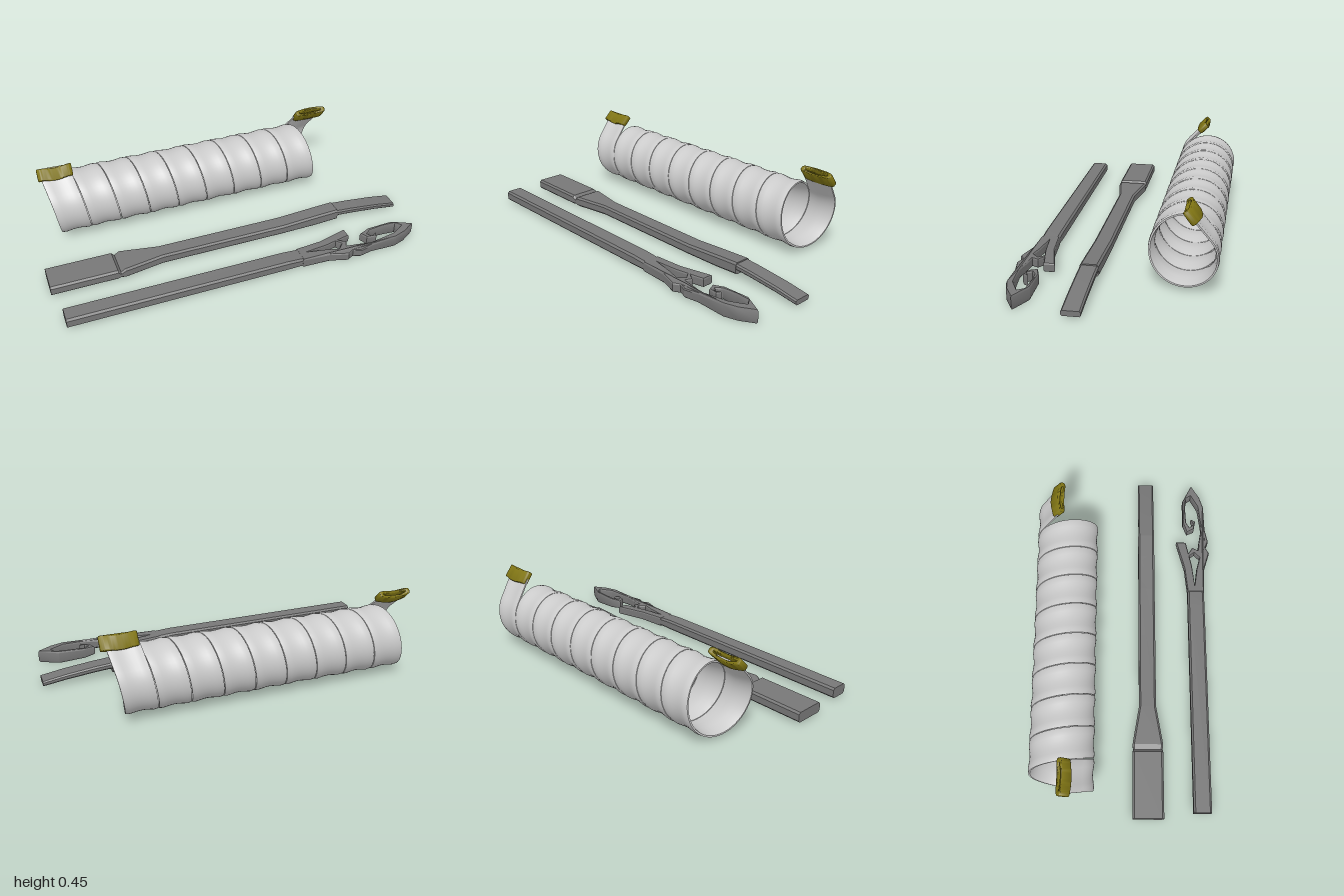
import * as THREE from 'three';
import { toCreasedNormals } from 'three/addons/utils/BufferGeometryUtils.js';

const V = (x, y, z) => new THREE.Vector3(x, y, z);
const plain = new THREE.MeshStandardMaterial({ color: 0xcccccc });
const dark = new THREE.MeshStandardMaterial({ color: 0x777777 });
const olive = new THREE.MeshStandardMaterial({ color: 0x807514 });

// Joins a row of equal-length rings into a capped solid
function loft(rings, crease = 0.6) {
  const n = rings[0].length, last = (rings.length - 1) * n, index = [];
  for (let i = 0; i < rings.length - 1; i++) {
    for (let k = 0; k < n; k++) {
      const a = i * n + k, b = i * n + (k + 1) % n;
      index.push(a, a + n, b + n, a, b + n, b);
    }
  }
  for (let k = 1; k < n - 1; k++) index.push(0, k, k + 1, last, last + k + 1, last + k);
  const g = new THREE.BufferGeometry().setFromPoints(rings.flat());
  g.setIndex(index);
  return toCreasedNormals(g, crease);
}

// Chamfered bar along x; stations are [x, half width, bottom, top]
function bar(stations, zc) {
  return loft(stations.map(([x, w, b, t]) => {
    const c = Math.min(0.01, (t - b) / 4);
    return [[w, b + c], [w, t - c], [w - c, t], [c - w, t], [-w, t - c], [-w, b + c], [c - w, b], [w - c, b]]
      .map(([z, y]) => V(x, y, zc + z));
  }), 0.35);
}

function add(parent, name, geometry, material) {
  const mesh = new THREE.Mesh(geometry, material);
  mesh.name = name;
  parent.add(mesh);
  return mesh;
}

// Coil layout
const CY = 0.19, CZ = -0.325, R = 0.16, PITCH = 0.1676, TURNS = 8;
const A0 = Math.PI / 4, A1 = THREE.MathUtils.degToRad(-217) - TURNS * Math.PI * 2;
const LEAD0 = 0.12, LEAD1 = 0.148;

function coilRibbon() {
  // Ribbon section: slightly dished, with rounded edges
  const section = [], W = 0.082, N = 8;
  const mid = u => -0.004 * Math.cos(u * Math.PI);
  for (let i = 0; i <= N; i++) {
    const u = -1 + 2 * i / N;
    section.push([u * W, mid(u) + (Math.abs(u) === 1 ? 0.004 : 0.008)]);
  }
  for (let i = N; i >= 0; i--) {
    const u = -1 + 2 * i / N;
    section.push([u * W, mid(u) - (Math.abs(u) === 1 ? 0.004 : 0.008)]);
  }
  const slope = PITCH / (2 * Math.PI * R);
  const rings = [];
  let x = -0.835;
  // Ring at angle a, slid along the tangent by d
  const ring = (a, d, x) => {
    const ny = Math.sin(a), nz = Math.cos(a);
    rings.push(section.map(([w, h]) =>
      V(x + w, CY + ny * (R + h) - nz * d, CZ + nz * (R + h) + ny * d)));
  };
  ring(A0, -LEAD0, x);
  x += LEAD0 * slope;
  const steps = 440;
  for (let i = 0; i <= steps; i++) {
    const t = i / steps;
    ring(A0 + (A1 - A0) * t, 0, x + (A0 - A1) * t * R * slope);
  }
  x += (A0 - A1) * R * slope;
  ring(A1, LEAD1, x + LEAD1 * slope);
  return loft(rings, 0.8);
}

// Flat hollow sleeve, gently waved along its length
function sleeveGeometry(depth) {
  const oval = (a, b) => Array.from({ length: 56 }, (_, i) => {
    const t = i / 56 * Math.PI * 2, c = Math.cos(t), s = Math.sin(t);
    return new THREE.Vector2(a * c, b * Math.sign(s) * Math.pow(Math.abs(s), 0.4));
  });
  const shape = new THREE.Shape(oval(0.087, 0.016));
  shape.holes.push(new THREE.Path(oval(0.074, 0.012)));
  const g = new THREE.ExtrudeGeometry(shape, {
    depth: depth - 0.012, bevelThickness: 0.006, bevelSize: 0.006, bevelSegments: 3,
  });
  g.translate(0, 0, 0.006 - depth / 2);
  const p = g.attributes.position;
  for (let i = 0; i < p.count; i++) {
    const wave = Math.cos(p.getX(i) / 0.093 * Math.PI);
    p.setY(i, p.getY(i) + 0.003 * wave);
    p.setZ(i, p.getZ(i) - 0.005 * wave);
  }
  return toCreasedNormals(g, 0.9);
}

function addSleeve(parent, name, pos, dir, depth) {
  const mesh = add(parent, name, sleeveGeometry(depth), olive);
  const X = V(1, 0, 0);
  mesh.quaternion.setFromRotationMatrix(
    new THREE.Matrix4().makeBasis(X, dir.clone().cross(X), dir));
  mesh.position.copy(pos);
}

// Forked, curled end of the hook tool, drawn in plan as [x, z]
function hookGeometry() {
  const plan = [
    [0.28, 0.365], [0.43, 0.35], [0.6, 0.305], [0.6, 0.362], [0.45, 0.395], [0.32, 0.408],
    [0.43, 0.422], [0.5, 0.44], [0.53, 0.41], [0.49, 0.352], [0.565, 0.4], [0.55, 0.433],
    [0.605, 0.44], [0.685, 0.455], [0.83, 0.438], [0.905, 0.397], [0.885, 0.368],
    [0.81, 0.364], [0.73, 0.368], [0.7, 0.387], [0.715, 0.408], [0.75, 0.395],
    [0.738, 0.422], [0.685, 0.412], [0.665, 0.37], [0.725, 0.348], [0.87, 0.348],
    [0.975, 0.403], [0.9, 0.45], [0.83, 0.472], [0.685, 0.477], [0.605, 0.494],
    [0.565, 0.478], [0.53, 0.498], [0.43, 0.467], [0.28, 0.46],
  ];
  const g = new THREE.ExtrudeGeometry(
    new THREE.Shape(plan.map(([x, z]) => new THREE.Vector2(x, z))),
    { depth: 0.034, bevelThickness: 0.006, bevelSize: 0.004, bevelOffset: -0.004, bevelSegments: 1 });
  g.rotateX(Math.PI / 2);
  g.translate(0, 0.017, 0);
  // The curl is thicker than the fork
  const p = g.attributes.position;
  for (let i = 0; i < p.count; i++) {
    const x = p.getX(i);
    const k = 1 + 0.5 * THREE.MathUtils.smoothstep(x, 0.62, 0.85)
      + 0.15 * (1 - THREE.MathUtils.smoothstep(x, 0.28, 0.5));
    p.setY(i, 0.035 + p.getY(i) * k);
  }
  return toCreasedNormals(g, 0.5);
}

export function createModel() {
  const model = new THREE.Group();

  // Spiral ribbon with a sleeve on each end
  const coil = new THREE.Group();
  coil.name = 'coil';
  add(coil, 'spiralRibbon', coilRibbon(), plain);
  const s = Math.SQRT1_2;
  addSleeve(coil, 'rightSleeve', V(-0.838, 0.396, -0.295), V(0, s, -s), 0.066);
  addSleeve(coil, 'leftSleeve', V(0.685, 0.408, -0.369), V(0, 0.8, 0.6), 0.074);
  model.add(coil);

  // Flat-bladed tool with a stepped, sloping tip
  const blade = new THREE.Group();
  blade.name = 'bladeTool';
  add(blade, 'bladeAndShaft', bar([
    [-1, 0.0825, 0.01, 0.065], [-0.65, 0.0825, 0.01, 0.065], [-0.635, 0.08, 0.014, 0.048],
    [-0.61, 0.0825, 0.01, 0.065], [-0.58, 0.078, 0.01, 0.065], [-0.4, 0.047, 0.01, 0.065],
    [0.3, 0.047, 0.01, 0.065], [0.5, 0.047, 0.014, 0.078], [0.63, 0.047, 0.022, 0.085],
  ], 0.127), dark);
  add(blade, 'slopingTip', bar([
    [0.61, 0.046, 0.047, 0.08], [0.72, 0.046, 0.04, 0.072],
    [0.88, 0.046, 0.025, 0.055], [1, 0.046, 0.009, 0.036],
  ], 0.127), dark);
  model.add(blade);

  // Hook tool with a forked, curled end
  const hook = new THREE.Group();
  hook.name = 'hookTool';
  add(hook, 'hookShaft', bar([
    [-0.97, 0.048, 0.01, 0.066], [0.2, 0.048, 0.01, 0.066], [0.3, 0.047, 0.012, 0.06],
  ], 0.412), dark);
  add(hook, 'forkedHook', hookGeometry(), dark);
  model.add(hook);

  return model;
}
